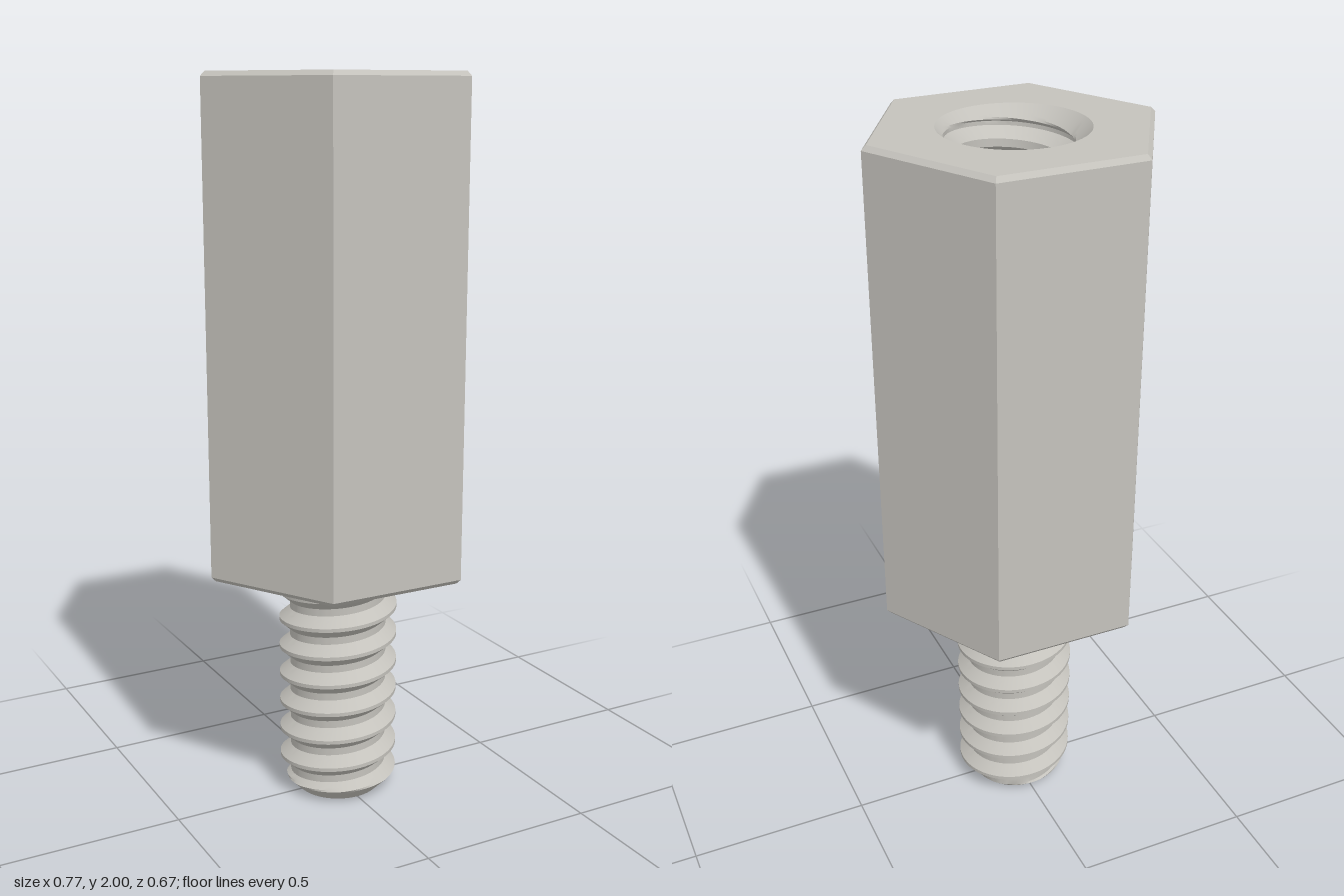
import * as THREE from 'three';
import { toCreasedNormals } from 'three/addons/utils/BufferGeometryUtils.js';

const PITCH = 0.083, HEX_R = 0.385, BEVEL = 0.0125;
const BODY_Y = 0.675, TOP_Y = 2, SINK_R = 0.19, FLOOR_Y = 1.2, TIP_R = 0.118;

// Ridge height 0..1 at a distance, in turns, from the ridge centre
function ridge(turns) {
  const d = Math.abs(turns - Math.round(turns));
  return THREE.MathUtils.clamp((0.375 - d) / 0.3125, 0, 1);
}

// Right-handed helical surface from y0 to y1; radius(height, y) shapes it
function threadGeometry(y0, y1, phase, radius, inward) {
  const steps = [];
  for (let i = 0; i <= 5; i++) steps.push(-0.375 + i * 0.0625);
  for (let i = 0; i <= 5; i++) steps.push(0.0625 + i * 0.0625);
  const rows = [];
  const first = Math.floor((y0 - phase) / PITCH) - 2;
  const last = Math.ceil((y1 - phase) / PITCH) + 1;
  for (let k = first; k <= last; k++) steps.forEach(s => rows.push(k + s));

  const segments = 96, positions = [], index = [];
  rows.forEach(row => {
    for (let i = 0; i <= segments; i++) {
      const turn = i / segments, t = turn * Math.PI * 2;
      const y = THREE.MathUtils.clamp(phase + PITCH * (row + turn), y0, y1);
      const r = radius(ridge((y - phase) / PITCH - turn), y);
      positions.push(r * Math.cos(t), y, -r * Math.sin(t));
    }
  });
  for (let j = 0; j < rows.length - 1; j++) {
    for (let i = 0; i < segments; i++) {
      const a = j * (segments + 1) + i, b = a + 1;
      const d = a + segments + 1, c = d + 1;
      if (inward) index.push(a, c, b, a, d, c);
      else index.push(a, b, c, a, c, d);
    }
  }
  const geometry = new THREE.BufferGeometry();
  geometry.setAttribute('position', new THREE.Float32BufferAttribute(positions, 3));
  geometry.setIndex(index);
  return toCreasedNormals(geometry, 0.5);
}

export function createModel() {
  const group = new THREE.Group();
  const steel = new THREE.MeshStandardMaterial({ color: 0xc4c2bc });
  steel.name = 'steel';
  const add = (name, geometry) => {
    const mesh = new THREE.Mesh(geometry, steel);
    mesh.name = name;
    group.add(mesh);
    return mesh;
  };

  // Hexagonal body: underside, bevels and six flats
  const inner = HEX_R - BEVEL;
  const profile = [
    [0, BODY_Y], [inner, BODY_Y], [HEX_R, BODY_Y + BEVEL],
    [HEX_R, TOP_Y - BEVEL], [inner, TOP_Y],
  ].map(p => new THREE.Vector2(...p));
  add('hexBody', toCreasedNormals(new THREE.LatheGeometry(profile, 6, Math.PI / 6), 0.5));

  // Top face with the round mouth of the bore
  const hex = new THREE.Shape();
  for (let i = 0; i < 6; i++) {
    const a = i * Math.PI / 3;
    hex[i ? 'lineTo' : 'moveTo'](inner * Math.cos(a), inner * Math.sin(a));
  }
  hex.closePath();
  hex.holes.push(new THREE.Path().absarc(0, 0, SINK_R, 0, Math.PI * 2, true));
  const face = new THREE.ShapeGeometry(hex, 48);
  face.rotateX(-Math.PI / 2);
  add('topFace', face).position.y = TOP_Y;

  // Threaded bore with a countersunk mouth and a flat floor
  add('threadedBore', threadGeometry(FLOOR_Y, TOP_Y, 1.98,
    (h, y) => Math.max(0.138 + 0.03 * h, SINK_R + y - TOP_Y), true));
  const floor = new THREE.CircleGeometry(0.175, 64);
  floor.rotateX(-Math.PI / 2);
  add('boreFloor', floor).position.y = FLOOR_Y;

  // Threaded stud with a chamfered tip
  add('threadedStud', threadGeometry(0, BODY_Y + 0.005, 0.058,
    (h, y) => Math.min(0.136 + 0.03 * h, TIP_R + y), false));
  const tip = new THREE.CircleGeometry(TIP_R, 96);
  tip.rotateX(Math.PI / 2);
  add('studTip', tip);

  return group;
}
